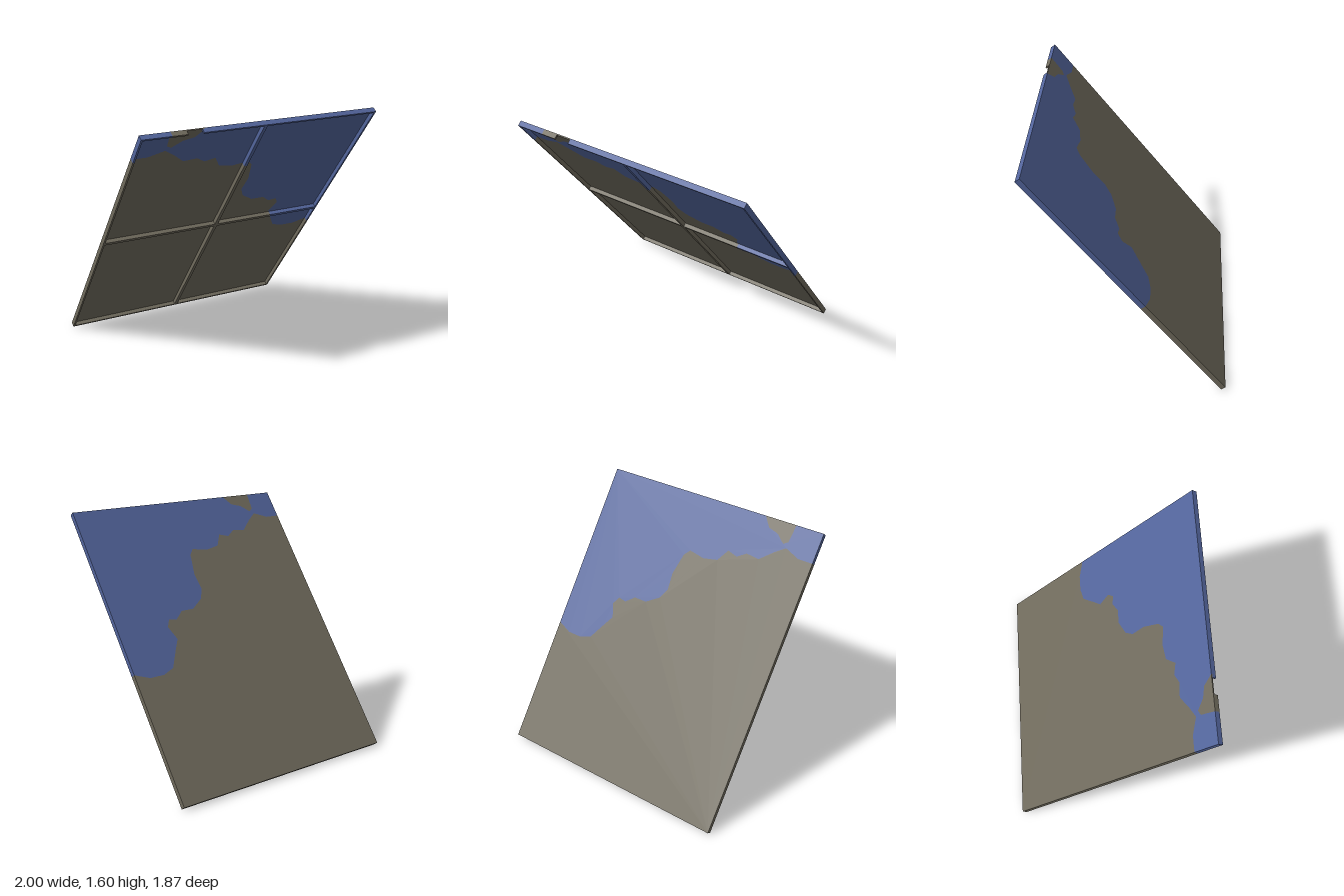
import * as THREE from 'three';

const W = 1.6, H = 1.985;      // panel width and length
const SKIN = 0.008;            // sheet thickness
const LIP = 0.034;             // height of rim and ribs

export function createModel() {
  const bare = new THREE.MeshStandardMaterial({ color: 0x706b5d });
  bare.name = 'bare grey brown';
  const paint = new THREE.MeshStandardMaterial({ color: 0x53659c });
  paint.name = 'faded blue';

  const model = new THREE.Group();
  model.name = 'tiltedPanel';
  const panel = new THREE.Group();
  panel.name = 'panel';
  model.add(panel);

  // Ragged edge of the blue area, from the right edge to the left edge
  const edge = [
    [1.6, 0.85], [1.5, 0.81], [1.4, 0.81], [1.32, 0.84], [1.26, 0.94], [1.21, 1.02],
    [1.245, 1.11], [1.215, 1.16], [1.16, 1.15], [1.1, 1.2], [1.01, 1.2], [0.92, 1.26],
    [0.885, 1.33], [0.895, 1.44], [0.865, 1.58], [0.83, 1.62], [0.72, 1.6],
    [0.62, 1.62], [0.57, 1.7], [0.5, 1.68], [0.44, 1.72], [0.35, 1.71],
    [0.27, 1.78], [0.2, 1.83], [0.1, 1.79], [0, 1.79],
  ].map(([x, y]) => new THREE.Vector2(x, y));

  // Worn patch at the top edge
  const patch = [[0.19, H], [0.2, 1.87], [0.23, 1.85], [0.29, 1.9], [0.36, 1.92], [0.41, H]]
    .map(([x, y]) => new THREE.Vector2(x, y));

  function sheet(name, points, material) {
    const geometry = new THREE.ExtrudeGeometry(new THREE.Shape(points), { depth: SKIN, bevelEnabled: false });
    const mesh = new THREE.Mesh(geometry, material);
    mesh.name = name;
    panel.add(mesh);
  }
  const v = (x, y) => new THREE.Vector2(x, y);
  sheet('bareSheet', [v(0, 0), v(W, 0), ...edge], bare);
  sheet('paintedSheet', [...edge, v(0, H), ...patch, v(W, H)], paint);
  sheet('wornPatch', patch, bare);

  // Straight bar on the underside, given by its extents in the panel
  function bar(name, x0, x1, y0, y1, material) {
    const mesh = new THREE.Mesh(new THREE.BoxGeometry(x1 - x0, y1 - y0, LIP), material);
    mesh.position.set((x0 + x1) / 2, (y0 + y1) / 2, LIP / 2 + 0.0005);
    mesh.name = name;
    panel.add(mesh);
  }
  const B = 0.012, R = 0.011;
  const midX = W / 2, midY = 1.0;

  // Rim, with a broken gap in the top bar
  bar('bottomRim', 0, W, 0, B, bare);
  bar('leftRim', 0, B, B, 1.79, bare);
  bar('leftRimPainted', 0, B, 1.79, H, paint);
  bar('rightRim', W - B, W, B, 0.85, bare);
  bar('rightRimPainted', W - B, W, 0.85, H, paint);
  bar('topRimCorner', B, 0.19, H - B, H, paint);
  bar('topRimWorn', 0.19, 0.29, H - B, H, bare);
  bar('topRimPainted', 0.39, W - B, H - B, H, paint);

  // Cross ribs
  bar('longRib', midX - R, midX + R, B, 1.61, bare);
  bar('longRibPainted', midX - R, midX + R, 1.61, H - B, paint);
  bar('crossRibLeft', B, midX - R, midY - R, midY + R, bare);
  bar('crossRibRight', midX + R, 1.22, midY - R, midY + R, bare);
  bar('crossRibPainted', 1.22, W - B, midY - R, midY + R, paint);

  // Lean the panel: its ribbed side faces forward and down
  const across = new THREE.Vector3(0.866, 0, -0.5).normalize();
  const up = new THREE.Vector3(0.306, 0.794, 0.525);
  up.addScaledVector(across, -up.dot(across)).normalize();
  const out = new THREE.Vector3().crossVectors(across, up);
  panel.quaternion.setFromRotationMatrix(new THREE.Matrix4().makeBasis(across, up, out));
  panel.position.set(-1, 0.021, -0.13);
  return model;
}
